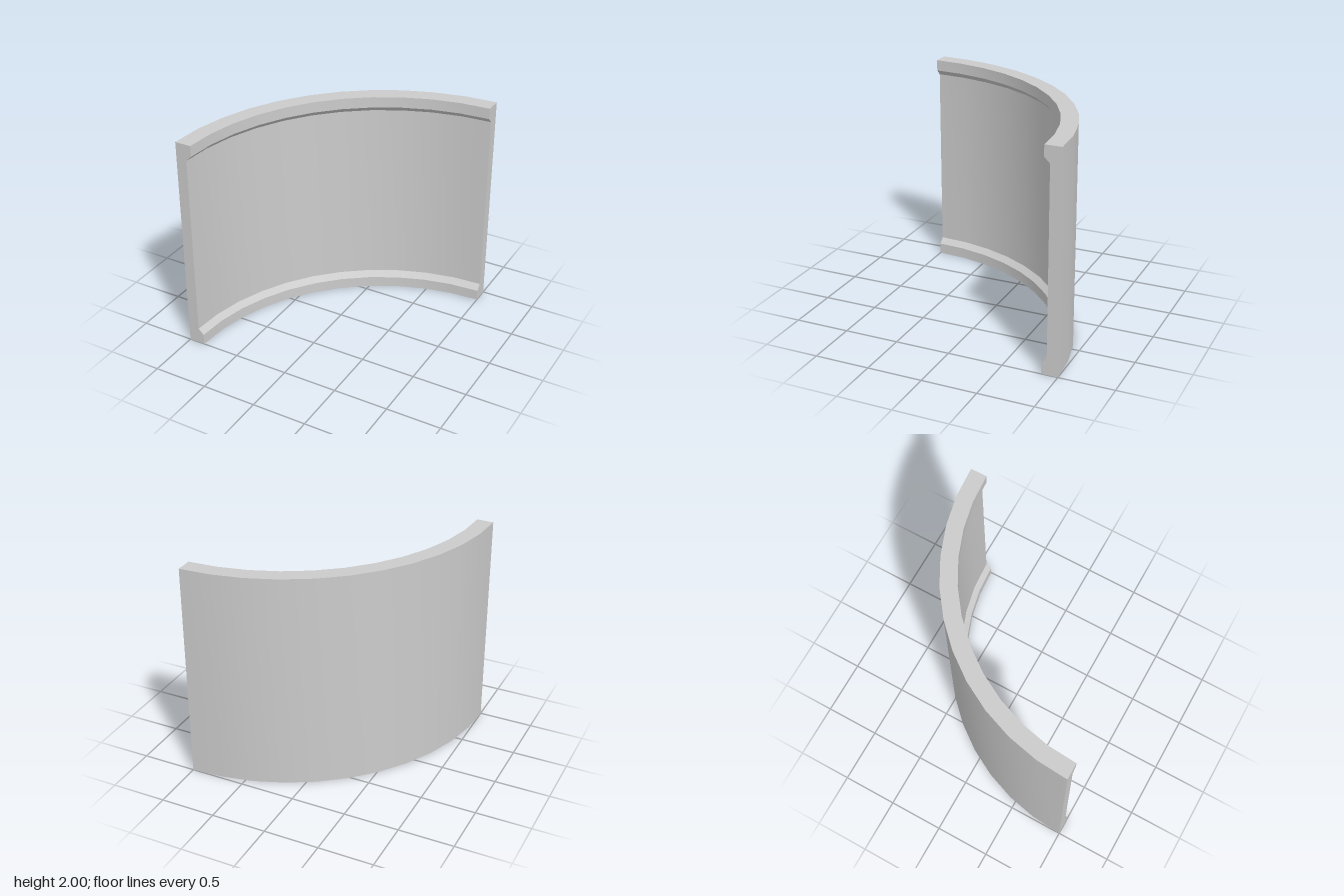
import * as THREE from 'three';
import { toCreasedNormals } from 'three/addons/utils/BufferGeometryUtils.js';

export function createModel() {
  const group = new THREE.Group();
  group.name = 'quarterShell';
  const material = new THREE.MeshStandardMaterial({ color: 0xcccccc });

  // Wall section as (radius, height): plain outside, chamfered lips inside
  const outer = 2, lip = 1.85, recess = 1.9;
  const section = [
    [outer, 0], [outer, 2], [lip, 2], [lip, 1.9],
    [recess, 1.85], [recess, 0.15], [lip, 0.1], [lip, 0],
  ].map(([r, y]) => new THREE.Vector2(r, y));

  const add = (name, geometry) => {
    const mesh = new THREE.Mesh(geometry, material);
    mesh.name = name;
    group.add(mesh);
    return mesh;
  };

  // Quarter-turn curved wall
  const wall = new THREE.LatheGeometry([...section, section[0]], 11, Math.PI, Math.PI / 2);
  add('curvedWall', toCreasedNormals(wall, 0.4));

  // Flat end faces closing the wall
  const endFace = (side) => new THREE.ShapeGeometry(
    new THREE.Shape(section.map((p) => new THREE.Vector2(side * p.x, p.y))));
  add('leftEndFace', endFace(1)).rotation.y = Math.PI / 2;
  add('frontEndFace', endFace(-1));

  // The arc is centred on the front left corner
  for (const part of group.children) part.position.set(1, 0, 1);
  return group;
}
